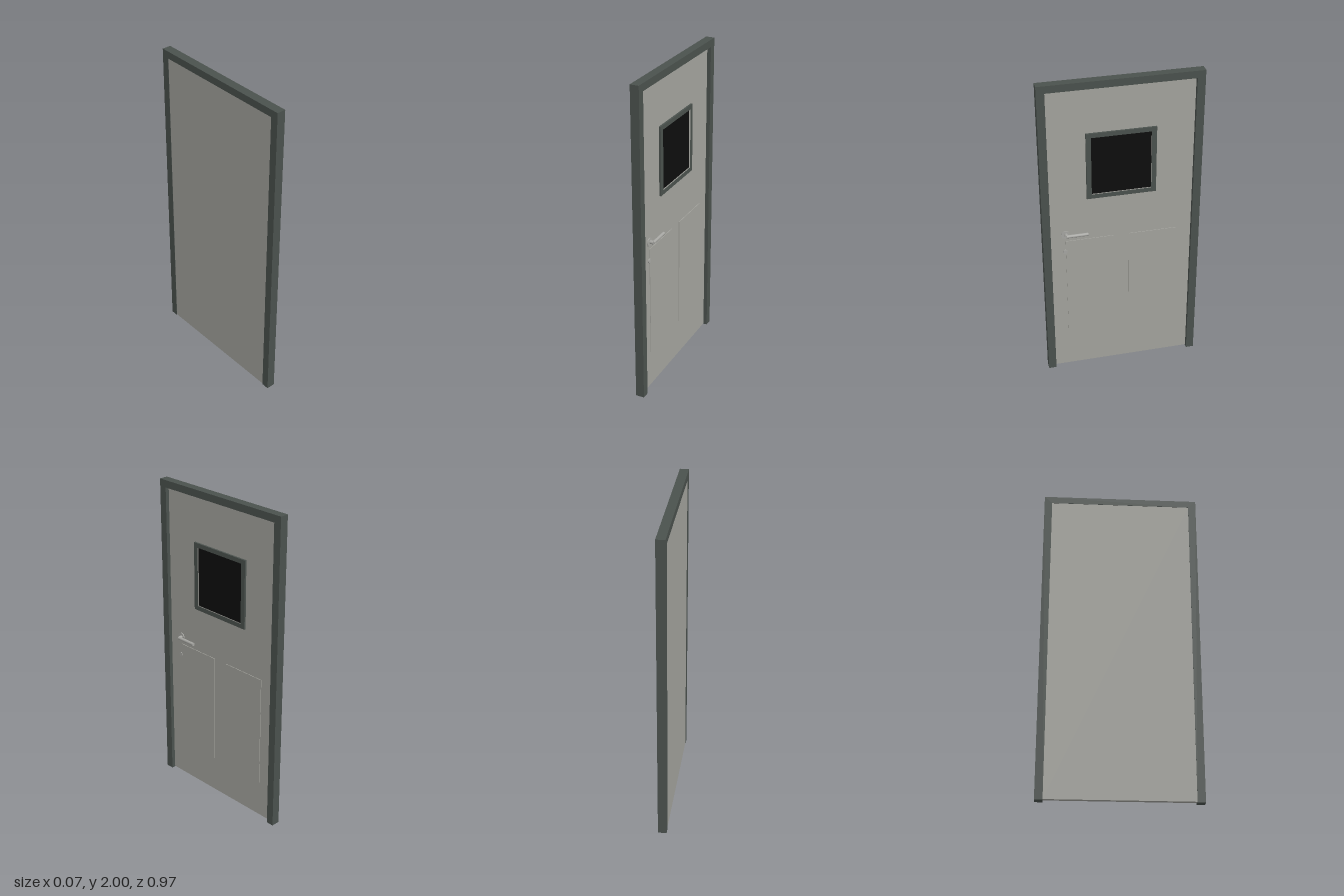
import * as THREE from 'three';

const frameMat = new THREE.MeshStandardMaterial({ name: 'dark green grey', color: 0x4a514d });
const doorMat = new THREE.MeshStandardMaterial({ name: 'light grey', color: 0xa3a39d });
const glassMat = new THREE.MeshStandardMaterial({ name: 'black glass', color: 0x0d0d0d });
const metalMat = new THREE.MeshStandardMaterial({ name: 'handle metal', color: 0xa6a6a2 });

const BACK = -0.033, FRONT = 0.021; // depth range of the frame
const FACE = -0.003;                // face of the door leaf

export function createModel() {
  const door = new THREE.Group();
  door.name = 'door';

  const add = (name, geometry, material) => {
    const mesh = new THREE.Mesh(geometry, material);
    mesh.name = name;
    door.add(mesh);
    return mesh;
  };
  // Box given by its ranges along x, y and z
  const box = (name, material, x0, x1, y0, y1, z0, z1) => {
    const mesh = add(name, new THREE.BoxGeometry(x1 - x0, y1 - y0, z1 - z0), material);
    mesh.position.set((x0 + x1) / 2, (y0 + y1) / 2, (z0 + z1) / 2);
    return mesh;
  };
  // Outline in the door plane, extruded along x from x0 to x1
  const plate = (name, material, outline, hole, x0, x1) => {
    const points = list => list.map(([z, y]) => new THREE.Vector2(-z, y));
    const shape = new THREE.Shape(points(outline));
    if (hole) shape.holes.push(new THREE.Path(points(hole)));
    const geometry = new THREE.ExtrudeGeometry(shape, { depth: x1 - x0, bevelEnabled: false });
    geometry.rotateY(Math.PI / 2).translate(x0, 0, 0);
    return add(name, geometry, material);
  };
  const rect = (z, y0, y1) => [[-z, y0], [z, y0], [z, y1], [-z, y1]];
  // Cylinder pointing along x
  const disc = (name, r, x0, x1, y, z, sides) => {
    const geometry = new THREE.CylinderGeometry(r, r, x1 - x0, sides).rotateZ(-Math.PI / 2);
    add(name, geometry, metalMat).position.set((x0 + x1) / 2, y, z);
  };

  // Surround: two jambs and a lintel in one piece
  plate('frame', frameMat, [
    [-0.485, 0], [-0.437, 0], [-0.437, 1.955], [0.437, 1.955],
    [0.437, 0], [0.485, 0], [0.485, 2], [-0.485, 2],
  ], null, BACK, FRONT);

  // Door leaf, nearly flush at the back and recessed at the face
  box('doorLeaf', doorMat, BACK + 0.002, FACE, 0.004, 1.955, -0.437, 0.437);

  // Two shallow raised panels
  for (const side of [-1, 1]) {
    const z = side * 0.196;
    box('lowerPanel', doorMat, FACE - 0.002, FACE + 0.004, 0.24, 0.955, z - 0.148, z + 0.148);
  }

  // Window with its trim
  plate('windowTrim', frameMat, rect(0.21, 1.24, 1.67), rect(0.18, 1.268, 1.643), FACE - 0.002, FACE + 0.012);
  box('windowGlass', glassMat, FACE - 0.002, FACE + 0.004, 1.268, 1.643, -0.18, 0.18);

  // Lever handle: rosette, stem and bar
  disc('handleRosette', 0.027, FACE - 0.002, FACE + 0.006, 1.003, 0.345, 8);
  disc('handleStem', 0.011, FACE, 0.024, 1.003, 0.341, 12);
  const bar = add('handleBar', new THREE.CylinderGeometry(0.01, 0.01, 0.134, 12).rotateX(Math.PI / 2), metalMat);
  bar.position.set(0.023, 1.003, 0.277);

  // Keyhole cover
  disc('keyholeCover', 0.014, FACE - 0.002, FACE + 0.006, 0.88, 0.348, 12);

  return door;
}
